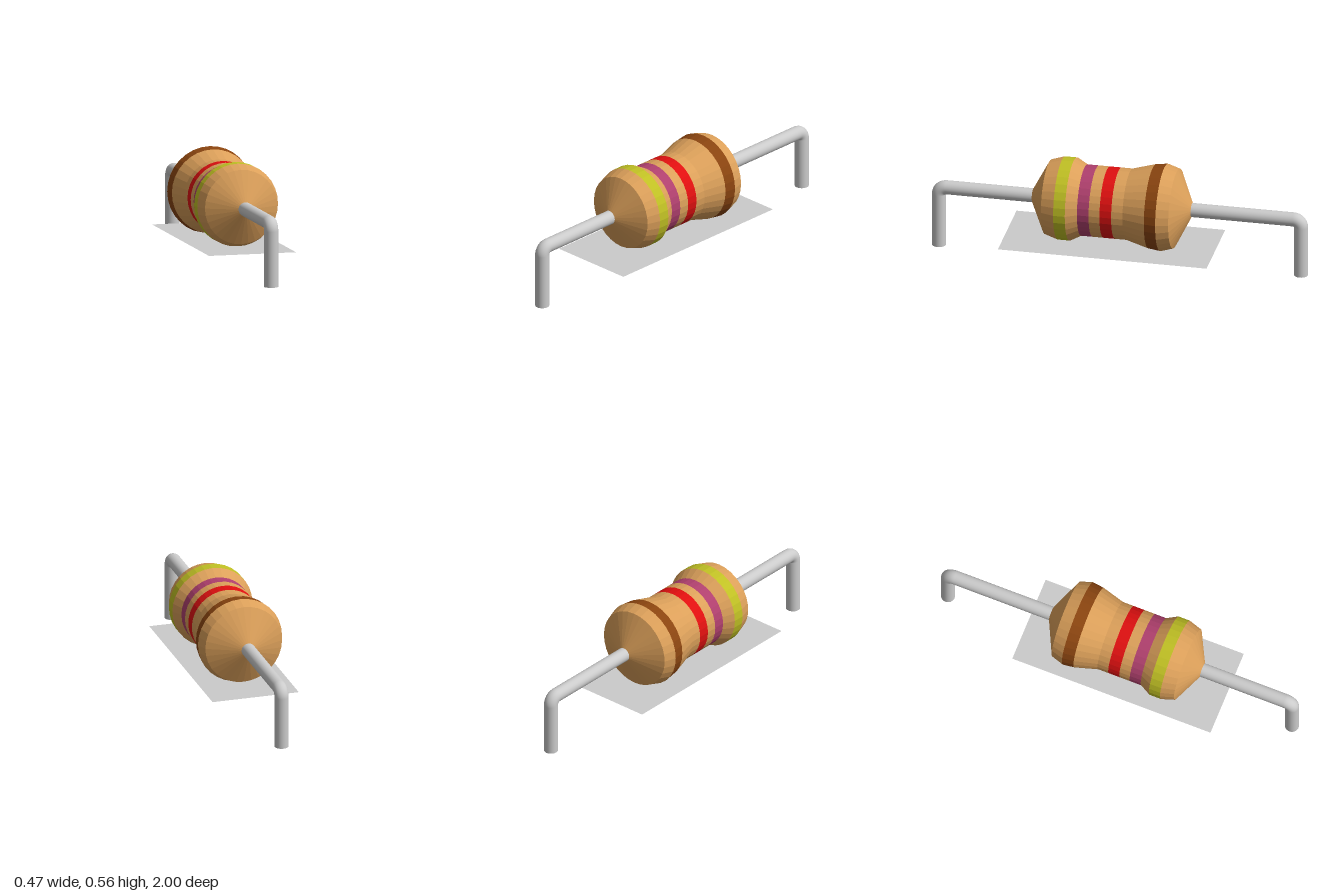
import * as THREE from 'three';

const AXIS_Y = 0.333;   // height of the body axis
const WIRE_R = 0.037;
const BEND_R = 0.04;
const LEG_Z = 0.963;

const paint = (color, extra = {}) => new THREE.MeshStandardMaterial({ color, ...extra });

// Body outline from back to front as [z, radius]
const outline = [
  [-0.383, 0.037], [-0.3, 0.209], [-0.235, 0.229], [-0.173, 0.221], [-0.052, 0.187],
  [0.008, 0.187], [0.07, 0.187], [0.128, 0.187], [0.19, 0.187], [0.248, 0.218],
  [0.31, 0.218], [0.38, 0.196], [0.462, 0.037],
];

// Stretches of the outline, each with its own colour
const tan = 0xdca05a;
const stretches = [
  ['backEnd', 0, 2, tan],
  ['brownBand', 2, 3, 0x8b4510],
  ['backWaist', 3, 5, tan],
  ['redBand', 5, 6, 0xe01010],
  ['middleWaist', 6, 7, tan],
  ['purpleBand', 7, 8, 0xb0406e],
  ['frontWaist', 8, 9, tan],
  ['yellowBand', 9, 10, 0xc0c024],
  ['frontEnd', 10, 12, tan],
];

function makeBody() {
  const body = new THREE.Group();
  body.name = 'body';
  body.position.y = AXIS_Y;
  for (const [name, from, to, color] of stretches) {
    const points = outline.slice(from, to + 1).map(([z, r]) => new THREE.Vector2(r, z));
    const geometry = new THREE.LatheGeometry(points, 32).rotateX(Math.PI / 2);
    const mesh = new THREE.Mesh(geometry, paint(color, { flatShading: true }));
    mesh.name = name;
    body.add(mesh);
  }
  return body;
}

// One lead: straight run out of the body, quarter bend, leg down to footY
function makeLead(name, footY) {
  const lead = new THREE.Group();
  lead.name = name;
  const grey = paint(0xcccccc);
  const add = (part, geometry) => {
    const mesh = new THREE.Mesh(geometry, grey);
    mesh.name = part;
    lead.add(mesh);
  };
  const bendZ = LEG_Z - BEND_R, bendY = AXIS_Y - BEND_R;

  const start = 0.3;
  add('run', new THREE.CylinderGeometry(WIRE_R, WIRE_R, bendZ - start, 24, 1, true)
    .rotateX(Math.PI / 2).translate(0, AXIS_Y, (bendZ + start) / 2));
  add('bend', new THREE.TorusGeometry(BEND_R, WIRE_R, 24, 8, Math.PI / 2)
    .rotateY(-Math.PI / 2).translate(0, bendY, bendZ));
  add('leg', new THREE.CylinderGeometry(WIRE_R, WIRE_R, bendY - footY, 24)
    .translate(0, (bendY + footY) / 2, LEG_Z));
  return lead;
}

export function createModel() {
  const model = new THREE.Group();
  model.name = 'resistor';
  model.add(makeBody());

  const frontLead = makeLead('frontLead', 0);
  const backLead = makeLead('backLead', 0.017);
  backLead.rotation.y = Math.PI;
  model.add(frontLead, backLead);

  // Thin flat sheet that the widest parts of the body dip through
  const sheet = new THREE.Mesh(
    new THREE.PlaneGeometry(0.47, 1.11).rotateX(-Math.PI / 2),
    paint(0xcccccc, { side: THREE.DoubleSide }),
  );
  sheet.name = 'baseSheet';
  sheet.position.set(0, 0.118, 0.045);
  model.add(sheet);
  return model;
}
